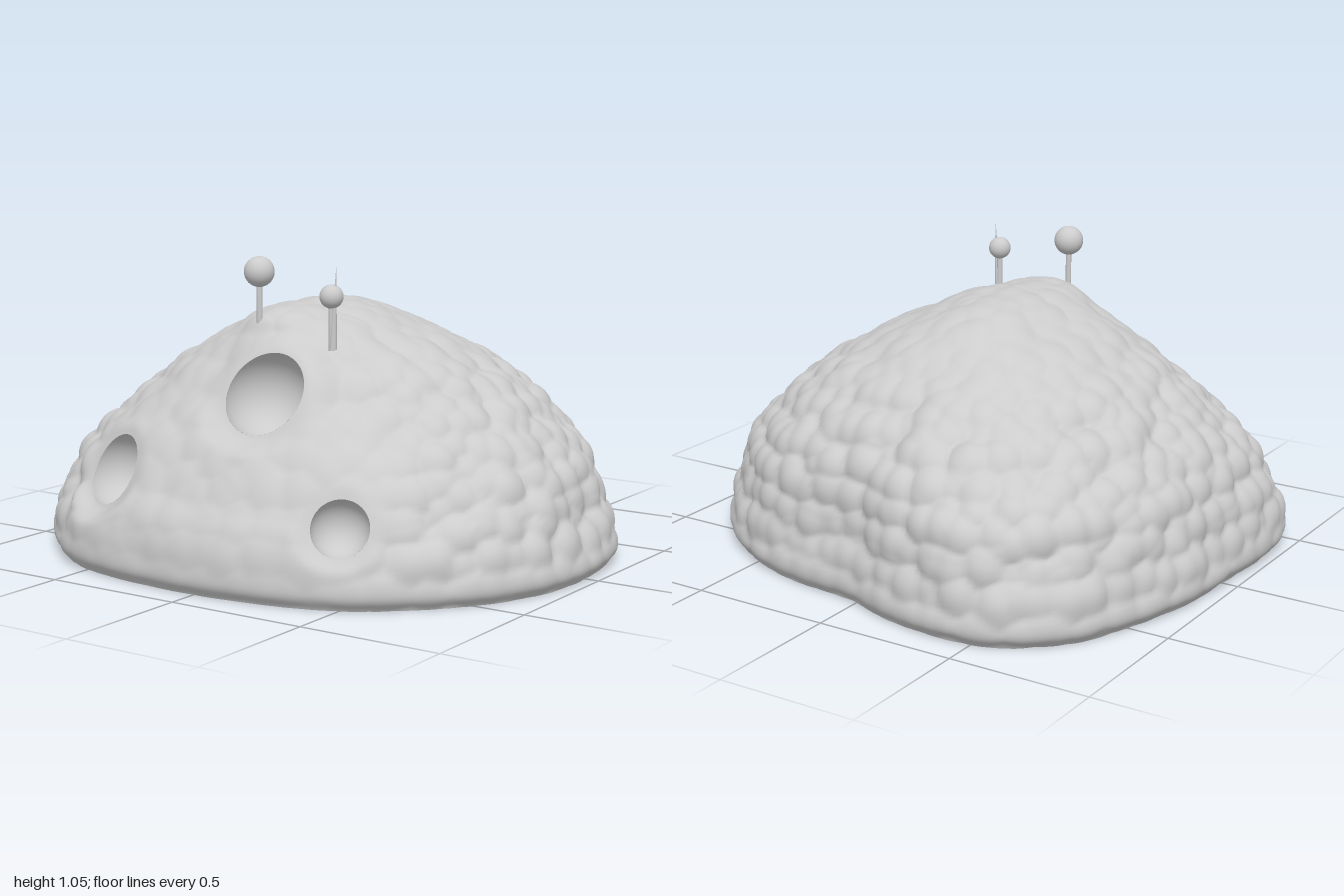
import * as THREE from 'three';

const AROUND = 320, UP = 110;
const smooth = THREE.MathUtils.smoothstep;
const V = (x, y, z) => new THREE.Vector3(x, y, z);

// ground outline, x / z pairs
const OUTLINE = [
  [0.985, 0.05], [0.965, 0.25], [0.91, 0.4], [0.83, 0.54], [0.71, 0.67], [0.58, 0.78], [0.4, 0.86],
  [0.15, 0.91], [-0.1, 0.92], [-0.4, 0.89], [-0.6, 0.825], [-0.8, 0.665], [-0.945, 0.485], [-0.985, 0.34],
  [-0.975, 0], [-0.945, -0.3], [-0.885, -0.5], [-0.795, -0.715], [-0.645, -0.86], [-0.45, -0.92],
  [-0.2, -0.897], [0.03, -0.825], [0.3, -0.79], [0.495, -0.73], [0.695, -0.595], [0.845, -0.42],
  [0.925, -0.29], [0.97, -0.1],
];

// height, width scale, front reach, back reach
const LEVELS = [
  [0, 0.97, 0.97, 0.97], [0.06, 1, 1, 1], [0.2, 0.96, 0.97, 0.97], [0.3, 0.92, 0.905, 0.945],
  [0.4, 0.86, 0.835, 0.905], [0.5, 0.77, 0.755, 0.82], [0.6, 0.655, 0.645, 0.695], [0.7, 0.51, 0.55, 0.54],
  [0.8, 0.3, 0.475, 0.33], [0.86, 0.145, 0.395, 0.14], [0.885, 0, 0.13, -0.13],
];

const CRATERS = [
  { centre: V(0.06, 0.62, 0.58), normal: V(0.02, 0.52, 0.85), radius: 0.148 },
  { centre: V(-0.47, 0.33, 0.72), normal: V(-0.34, 0.43, 0.83), radius: 0.127 },
  { centre: V(0.47, 0.25, 0.74), normal: V(0.36, 0.42, 0.83), radius: 0.096 },
];
CRATERS.forEach((c) => c.normal.normalize());

// seeded hash and rounded cell lumps (0 between lumps, 1 on top)
function hash(x, y, z, k) {
  const s = Math.sin(x * 127.1 + y * 311.7 + z * 74.7 + k * 53.3) * 43758.5453;
  return s - Math.floor(s);
}
function lumps(p, size) {
  const x = p.x / size, y = p.y / size, z = p.z / size;
  const ix = Math.floor(x), iy = Math.floor(y), iz = Math.floor(z);
  let best = 9;
  for (let a = ix - 1; a <= ix + 1; a++)
    for (let b = iy - 1; b <= iy + 1; b++)
      for (let c = iz - 1; c <= iz + 1; c++) {
        const dx = a + 0.1 + 0.8 * hash(a, b, c, 1) - x;
        const dy = b + 0.35 + 0.3 * hash(a, b, c, 2) - y;
        const dz = c + 0.1 + 0.8 * hash(a, b, c, 3) - z;
        best = Math.min(best, dx * dx + dy * dy + dz * dz);
      }
  return Math.max(0, 1 - best);
}

// moves a point onto the crater's rim plane and out of its opening
function openCrater(p, { centre, normal, radius }) {
  const rel = p.clone().sub(centre);
  const h = rel.dot(normal);
  if (Math.abs(h) > radius * 1.5) return false;
  const flat = rel.addScaledVector(normal, -h);
  const d = flat.length();
  if (d > radius * 1.7) return false;
  const inside = d <= radius;
  if (inside) flat.setLength(radius);
  p.copy(centre).add(flat).addScaledVector(normal, h * smooth(d, radius, radius * 1.7));
  return inside;
}

function shellGeometry() {
  const outline = new THREE.CatmullRomCurve3(OUTLINE.map(([x, z]) => V(x, 0, z)), true)
    .getSpacedPoints(AROUND);
  const sizes = new THREE.CatmullRomCurve3(
    LEVELS.map(([y, w, f, b]) => V(y, w, (f + b) / 2)), false, 'catmullrom');
  const shifts = new THREE.CatmullRomCurve3(
    LEVELS.map(([y, , f, b]) => V(-0.045 * y, 0, 0.465 * (f - b))), false, 'catmullrom');

  const points = [], index = [];
  for (let i = 0; i < UP; i++) {
    const s = sizes.getPoint(i / UP), o = shifts.getPoint(i / UP);
    // the uneven outline grows rounder towards the crown
    const round = 0.65 * smooth(s.x, 0.3, 0.75);
    for (let j = 0; j < AROUND; j++) {
      const q = outline[j].clone().lerp(outline[j].clone().setLength(0.945), round);
      points.push(V(q.x * s.y + o.x, s.x, q.z * s.z + o.z));
    }
  }
  points.push(V(-0.04, 0.885, 0.12));
  const id = (i, j) => (i === UP ? UP * AROUND : i * AROUND + (j % AROUND));
  for (let i = 0; i < UP; i++)
    for (let j = 0; j < AROUND; j++) {
      index.push(id(i, j), id(i + 1, j), id(i, j + 1));
      if (i < UP - 1) index.push(id(i, j + 1), id(i + 1, j), id(i + 1, j + 1));
    }

  const geo = new THREE.BufferGeometry().setFromPoints(points);
  geo.setIndex(index);
  geo.computeVertexNormals();

  // lumpy skin, calmer on the face, crown and foot
  const normals = geo.attributes.normal;
  const inHole = points.map((p, k) => {
    const face = smooth(p.z, 0.3, 0.6) * (1 - smooth(Math.abs(p.x), 0.45, 0.75));
    const foot = smooth(p.y, 0.02, 0.16);
    const amount = (1 - 0.7 * face) * (1 - 0.65 * smooth(p.y, 0.55, 0.82)) * (0.25 + 0.75 * foot);
    const bump = 0.045 * amount * (lumps(p, 0.1) - 0.75) + 0.02 * foot * (lumps(p, 0.25) - 0.75);
    p.addScaledVector(V(0, 0, 0).fromBufferAttribute(normals, k), bump);
    p.y = Math.max(p.y, 0);
    return CRATERS.map((c) => openCrater(p, c)).some(Boolean);
  });

  // drop the triangles lying in the crater openings
  const kept = [];
  for (let t = 0; t < index.length; t += 3) {
    const tri = index.slice(t, t + 3);
    if (!tri.every((k) => inHole[k])) kept.push(...tri);
  }
  geo.setFromPoints(points);
  geo.setIndex(kept);
  geo.computeVertexNormals();
  return geo;
}

export function createModel() {
  const group = new THREE.Group();
  const solid = new THREE.MeshStandardMaterial({ color: 0xcccccc });
  const thin = new THREE.MeshStandardMaterial({ color: 0xcccccc, side: THREE.DoubleSide });
  const add = (name, geo, material, parent = group) => {
    const mesh = new THREE.Mesh(geo, material);
    mesh.name = name;
    parent.add(mesh);
    return mesh;
  };

  add('rockShell', shellGeometry(), thin);

  // round bowls behind the openings, a little deeper than half a ball
  for (const { centre, normal, radius } of CRATERS) {
    const sink = radius * 0.12;
    const start = Math.atan2(radius, sink);
    const bowl = add('craterBowl', new THREE.SphereGeometry(
      Math.hypot(radius, sink), 40, 20, 0, Math.PI * 2, start, Math.PI - start), thin);
    bowl.position.copy(centre).addScaledVector(normal, -sink);
    bowl.quaternion.setFromUnitVectors(V(0, 1, 0), normal);
  }

  // ball-headed pins
  for (const [x, foot, top, r] of [[-0.085, 0.82, 1.0, 0.052], [0.21, 0.755, 0.935, 0.04]]) {
    const pin = new THREE.Group();
    pin.name = 'pin';
    pin.position.set(x, 0, 0.41);
    group.add(pin);
    add('pinStem', new THREE.CylinderGeometry(0.01, 0.01, top - foot, 16), solid, pin)
      .position.y = (top + foot) / 2;
    add('pinBall', new THREE.SphereGeometry(r, 32, 20), solid, pin).position.y = top;
  }

  // thin leaning needle beside the smaller pin
  const needle = add('needle', new THREE.ConeGeometry(0.013, 0.28, 12), solid);
  needle.position.set(0.223, 0.9, 0.41);
  needle.rotation.z = -0.05;

  return group;
}
